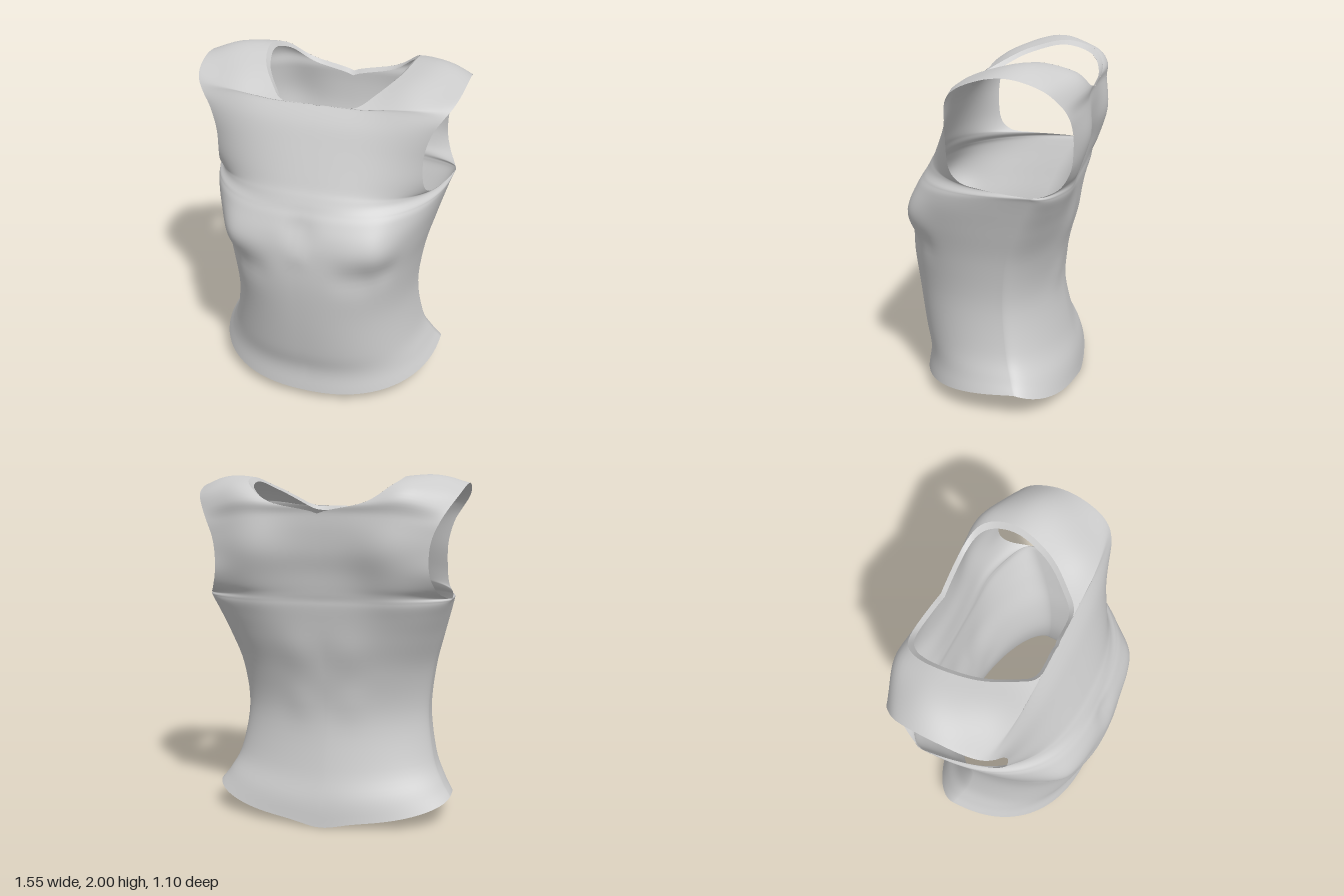
import * as THREE from 'three';
import { mergeVertices } from 'three/addons/utils/BufferGeometryUtils.js';

// Side seam from hem to armpit: x, y, z
const side = [
  [.71, .16, -.2], [.66, .23, -.17], [.6, .36, -.13], [.56, .62, -.1], [.585, .88, -.12],
  [.635, 1.08, -.18], [.675, 1.22, -.24], [.7, 1.3, -.28], [.71, 1.325, -.29],
];
// Centre lines beside that seam: y, z, roundness of the cross-section
const frontLow = [
  [.055, .465, 2.3], [.2, .45, 2.3], [.36, .485, 2.3], [.62, .525, 2.3], [.86, .55, 2.4],
  [1.05, .546, 2.55], [1.16, .525, 2.6], [1.25, .485, 2.6], [1.3, .455, 2.5],
];
const backLow = [
  [.03, -.485, 2], [.15, -.465, 1.9], [.32, -.41, 1.75], [.62, -.355, 1.7], [.88, -.385, 1.8],
  [1.08, -.425, 2.1], [1.2, -.445, 2.4], [1.27, -.455, 2.6], [1.31, -.457, 2.6],
];
// Over the shoulder: centre or neck edge, armhole edge, share of the quarter arc kept
const frontUp = [
  [0, 1.335, .437, .697, 1.335, -.16, .91],
  [0, 1.37, .418, .67, 1.345, -.02, .8],
  [0, 1.41, .395, .635, 1.365, .11, .67],
  [0, 1.48, .363, .613, 1.44, .18, .53],
  [0, 1.61, .303, .61, 1.6, .195, .45],
  [0, 1.73, .245, .645, 1.73, .187, .45],
  [0, 1.82, .185, .695, 1.81, .165, .45],
];
const shoulder = [
  [.2, 1.825, .175, .737, 1.865, .12, .45],
  [.30, 1.87, .08, .763, 1.905, .04, .45],
  [.40, 1.93, -.08, .775, 1.93, -.09, .45],
  [.445, 1.975, -.28, .772, 1.925, -.23, .45],
  [.41, 1.93, -.43, .75, 1.885, -.36, .45],
  [.27, 1.85, -.515, .70, 1.81, -.44, .45],
];
const backUp = [
  [0, 1.79, -.515, .66, 1.74, -.475, .45],
  [0, 1.7, -.515, .625, 1.66, -.485, .45],
  [0, 1.58, -.505, .61, 1.57, -.485, .45],
  [0, 1.47, -.482, .615, 1.46, -.478, .45],
  [0, 1.39, -.47, .648, 1.375, -.435, .52],
  [0, 1.345, -.463, .688, 1.337, -.36, .78],
];
// Soft swellings and hollows: centre, radius, shift
const bumps = [
  [.45, 1.09, .43, .13, .005, 0, .045],  // chest, outer and inner part
  [.3, 1.09, .5, .11, 0, 0, .012],
  [.26, .93, .52, .08, 0, 0, -.01],      // fold under the chest
  [.38, .92, .49, .09, 0, 0, -.02],
  [.5, .94, .4, .08, -.01, 0, -.015],
  [0, 1.2, .51, .08, 0, 0, -.02],        // breastbone hollow
  [0, 1.05, .55, .05, 0, 0, .008],       // tip of the breastbone
  [.62, 1.95, -.15, .2, 0, .045, 0],     // shoulder cap
  [.48, 1.9, .08, .16, 0, .03, .01],     // front of the shoulder
  [.45, 1.9, -.47, .14, 0, .02, -.025],  // back of the shoulder
  [.38, 1.6, -.5, .18, 0, 0, -.045],     // shoulder blade
  [.4, 1.36, -.44, .14, 0, 0, -.015],
  [.15, .7, -.35, .1, 0, 0, -.01],       // muscle beside the spine
  [.15, 1, -.4, .12, 0, 0, -.012],
  [0, .02, -.49, .14, 0, -.03, 0],       // dip of the back hem
];

function swell(p) {
  const q = p.clone();
  for (const [x, y, z, r, dx, dy, dz] of bumps) {
    const d2 = (p.x - x) ** 2 + (p.y - y) ** 2 + (p.z - z) ** 2;
    const k = Math.exp(-d2 / (r * r));
    q.x += dx * k * Math.min(1, p.x / .1);
    q.y += dy * k;
    q.z += dz * k;
  }
  return q;
}

// Rows from front hem over the shoulder to back hem: two edges, arc share, roundness
const low = (lines) => lines.map(([y, z, n], i) => [0, y, z, ...side[i], 1, n]);
const high = (lines, n) => lines.map((r) => [...r, n]);
const rows = [...low(frontLow), ...high(frontUp, 2.4), ...high(shoulder, 2.2),
  ...high(backUp, 2.4), ...low(backLow).reverse()];
const curve = (pick) => new THREE.CatmullRomCurve3(
  rows.map((r) => new THREE.Vector3(...pick(r))), false, 'catmullrom', .5);
const inner = curve((r) => r.slice(0, 3));
const outer = curve((r) => r.slice(3, 6));
const arc = curve((r) => [r[6], r[7], 0]);

function innerEdge(t) {
  const c = inner.getPoint(t);
  c.x = Math.max(0, c.x);
  return c;
}

// Mirrored grid of points, joined so the shading is smooth across the seams
function mirroredSheet(U, V, pointAt) {
  const pos = [], index = [];
  for (const sign of [1, -1]) {
    const base = pos.length / 3;
    for (let j = 0; j <= V; j++) {
      for (let i = 0; i <= U; i++) {
        const p = pointAt(i / U, j / V);
        pos.push(sign * p.x, p.y, p.z);
        if (i < U && j < V) {
          const k = base + j * (U + 1) + i, l = k + U + 1;
          if (sign > 0) index.push(k, k + 1, l, k + 1, l + 1, l);
          else index.push(k, l, k + 1, k + 1, l, l + 1);
        }
      }
    }
  }
  const geo = new THREE.BufferGeometry();
  geo.setAttribute('position', new THREE.Float32BufferAttribute(pos, 3));
  geo.setIndex(index);
  const joined = mergeVertices(geo, 1e-4);
  joined.computeVertexNormals();
  return joined;
}

// Part of a superellipse from the centre or neck edge to the side or armhole edge
function shellPoint(u, v) {
  const c = innerEdge(v), e = outer.getPoint(v), { x: share, y: n } = arc.getPoint(v);
  const end = Math.min(1, share) * Math.PI / 2;
  const sin = (a) => Math.sin(a) ** (2 / n);
  const cos = (a) => Math.max(0, Math.cos(a)) ** (2 / n);
  const s = sin(u * end) / sin(end);
  const h = Math.max(0, (cos(u * end) - cos(end)) / (1 - cos(end)));
  return swell(new THREE.Vector3(
    c.x + (e.x - c.x) * s, e.y + (c.y - e.y) * h ** 1.3, e.z + (c.z - e.z) * h));
}

// Narrow lip turned down inside the neck opening
const last = rows.length - 1;
const neckStart = (rows.findIndex((r) => r[0] > 0) - 1) / last;
const neckEnd = (rows.findLastIndex((r) => r[0] > 0) + 1) / last;
function lipPoint(u, v) {
  const p = swell(innerEdge(neckStart + (neckEnd - neckStart) * v));
  const k = (1 - u) * .06;
  return new THREE.Vector3(p.x * (1 - k), p.y - (1 - u) * .025, p.z + (-.17 - p.z) * k);
}

export function createModel() {
  const group = new THREE.Group();
  group.name = 'sleevelessTorso';
  const material = new THREE.MeshStandardMaterial({ color: 0xcccccc, side: THREE.DoubleSide });
  const add = (name, geometry) => {
    const mesh = new THREE.Mesh(geometry, material);
    mesh.name = name;
    group.add(mesh);
  };
  add('torsoShell', mirroredSheet(40, last * 5, shellPoint));
  add('neckLip', mirroredSheet(2, 40, lipPoint));
  return group;
}
